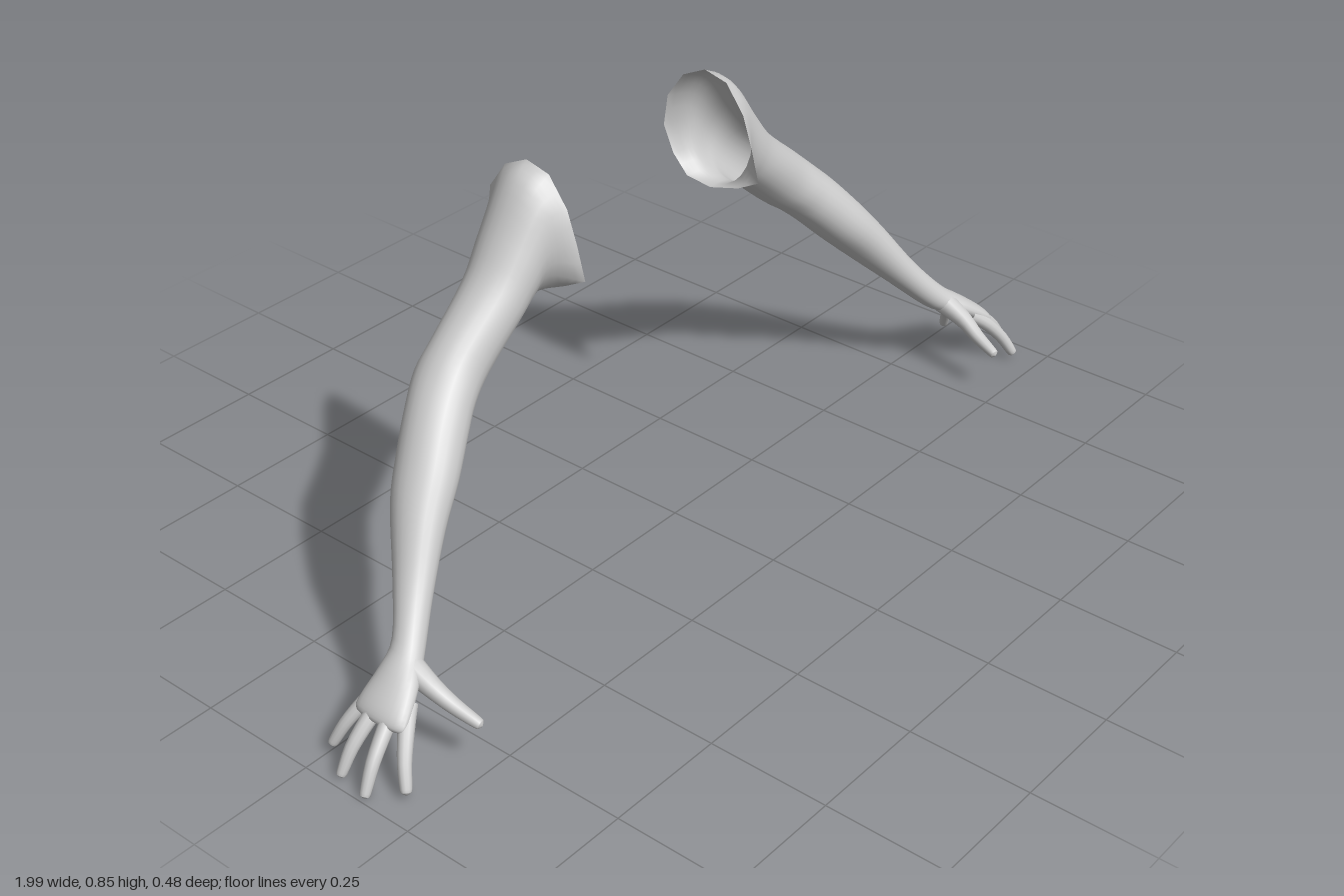
import * as THREE from 'three';

const V = (x, y, z) => new THREE.Vector3(x, y, z);
const skin = new THREE.MeshStandardMaterial({ color: 0xcccccc, side: THREE.DoubleSide });

// Ellipse of n points around a centre, starting at "up" and turning to "front"
function ring(c, up, front, n) {
  return Array.from({ length: n }, (_, i) => {
    const a = (i / n) * Math.PI * 2;
    return c.clone().addScaledVector(up, Math.cos(a)).addScaledVector(front, Math.sin(a));
  });
}

// Smooth skin through a row of rings; side = -1 builds the mirror image
function loft(name, rings, sub, side) {
  const n = rings[0].length, rows = (rings.length - 1) * sub;
  const columns = rings[0].map((_, i) =>
    new THREE.CatmullRomCurve3(rings.map(r => r[i]), false, 'catmullrom', 0.5));
  const pos = [], index = [];
  for (let j = 0; j <= rows; j++) {
    for (let i = 0; i < n; i++) {
      const p = columns[i].getPoint(j / rows);
      pos.push(p.x * side, p.y, p.z);
      if (j === rows) continue;
      const a = j * n + i, b = j * n + (i + 1) % n;
      if (side > 0) index.push(a, b, a + n, b, b + n, a + n);
      else index.push(a, a + n, b, b, a + n, b + n);
    }
  }
  const g = new THREE.BufferGeometry();
  g.setAttribute('position', new THREE.Float32BufferAttribute(pos, 3));
  g.setIndex(index);
  g.computeVertexNormals();
  const mesh = new THREE.Mesh(g, skin);
  mesh.name = name;
  return mesh;
}

// Open shoulder edge, as z, y pairs from the top round the front
const shoulderEdge = [
  [-0.136, 0.855], [-0.082, 0.842], [-0.04, 0.785], [-0.018, 0.72], [0, 0.652], [-0.05, 0.625],
  [-0.12, 0.605], [-0.18, 0.612], [-0.215, 0.65], [-0.24, 0.706], [-0.23, 0.773], [-0.19, 0.829],
];

// Sections: upper x, y; lower x, y; middle z; half width in z
const sections = [
  [0.297, 0.828, 0.283, 0.602, -0.125, 0.08],   // shoulder
  [0.355, 0.745, 0.312, 0.598, -0.122, 0.072],
  [0.41, 0.676, 0.337, 0.58, -0.118, 0.066],    // upper arm
  [0.5, 0.6, 0.425, 0.505, -0.115, 0.061],
  [0.55, 0.555, 0.475, 0.468, -0.108, 0.066],   // elbow
  [0.6, 0.505, 0.515, 0.432, -0.088, 0.066],
  [0.65, 0.445, 0.57, 0.375, -0.062, 0.066],    // forearm
  [0.7, 0.378, 0.635, 0.312, -0.034, 0.06],
  [0.762, 0.281, 0.71, 0.237, 0.016, 0.043],
  [0.82, 0.206, 0.778, 0.168, 0.063, 0.034],    // wrist
  [0.863, 0.172, 0.825, 0.14, 0.083, 0.045],    // palm
  [0.907, 0.136, 0.878, 0.106, 0.094, 0.058],
  [0.921, 0.113, 0.895, 0.094, 0.095, 0.053],
  [0.91, 0.1, 0.908, 0.098, 0.095, 0.001],
];

// Fingers: points x, y, z and radius from root to tip
const fingers = {
  thumb: [[0.82, 0.168, 0.08, 0.026], [0.818, 0.143, 0.137, 0.019], [0.81, 0.12, 0.18, 0.015],
    [0.801, 0.102, 0.226, 0.011]],
  indexFinger: [[0.865, 0.13, 0.125, 0.017], [0.898, 0.1, 0.15, 0.015], [0.926, 0.062, 0.172, 0.013],
    [0.942, 0.027, 0.189, 0.011]],
  middleFinger: [[0.875, 0.13, 0.107, 0.017], [0.915, 0.102, 0.117, 0.015], [0.958, 0.062, 0.128, 0.013],
    [0.986, 0.018, 0.135, 0.01]],
  ringFinger: [[0.875, 0.13, 0.08, 0.017], [0.915, 0.102, 0.076, 0.015], [0.953, 0.062, 0.071, 0.013],
    [0.977, 0.021, 0.068, 0.01]],
  littleFinger: [[0.865, 0.135, 0.062, 0.016], [0.895, 0.108, 0.043, 0.014], [0.923, 0.072, 0.025, 0.012],
    [0.94, 0.035, 0.01, 0.01]],
};

function armSkin(side) {
  // Shoulder edge keeps its straight facets, with midpoints between corners
  const edge = [];
  shoulderEdge.forEach(([z, y], i) => {
    const [z2, y2] = shoulderEdge[(i + 1) % shoulderEdge.length];
    edge.push(V(0.253, y, z), V(0.253, (y + y2) / 2, (z + z2) / 2));
  });
  const rings = sections.map(([ux, uy, lx, ly, z, h]) =>
    ring(V((ux + lx) / 2, (uy + ly) / 2, z), V((ux - lx) / 2, (uy - ly) / 2, 0), V(0, 0, h), 24));
  return loft('armAndPalm', [edge, ...rings], 4, side);
}

function finger(name, path, side) {
  const pts = path.map(p => V(p[0], p[1], p[2]));
  const last = pts.length - 1;
  const rings = [];
  const add = (c, d, r) => {
    const up = V(0, 1, 0).addScaledVector(d, -d.y).normalize();
    const front = d.clone().cross(up);
    rings.push(ring(c, up.multiplyScalar(r), front.multiplyScalar(r), 12));
  };
  const heading = i => pts[Math.min(i + 1, last)].clone().sub(pts[Math.max(i - 1, 0)]).normalize();
  pts.forEach((p, i) => add(p, heading(i), path[i][3]));
  // Rounded fingertip
  const d = heading(last), r = path[last][3];
  add(pts[last].clone().addScaledVector(d, r * 0.7), d, r * 0.65);
  add(pts[last].clone().addScaledVector(d, r), d, r * 0.02);
  return loft(name, rings, 3, side);
}

export function createModel() {
  const model = new THREE.Group();
  model.name = 'pairOfArms';
  for (const side of [1, -1]) {
    const arm = new THREE.Group();
    arm.name = side > 0 ? 'leftArm' : 'rightArm';
    arm.add(armSkin(side));
    for (const [name, path] of Object.entries(fingers)) arm.add(finger(name, path, side));
    model.add(arm);
  }
  return model;
}
